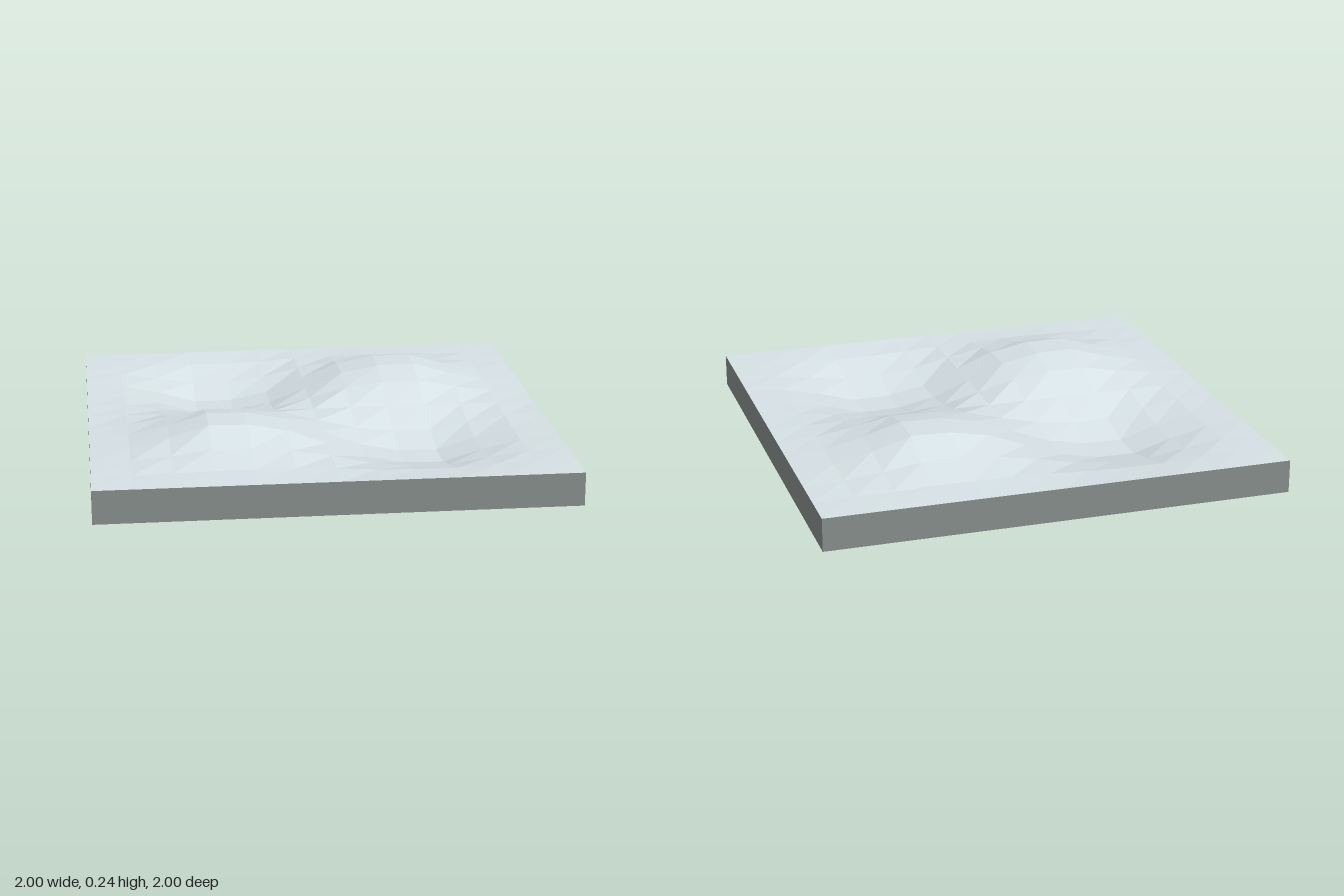
import * as THREE from 'three';

const SLAB_HEIGHT = 0.142;
const RELIEF = 0.1;
const CELLS = 12;

// Relief strength at each grid line, from the centre out to the edge.
const ACROSS = [0, 0.65, 0.97, 1, 0.51, 0.13, 0];
const MOUND_DEPTH = [0, 0.66, 1, 0.98, 0.45, 0.08, 0];
const HOLLOW_DEPTH = [0, 0.62, 1, 1, 0.58, 0.16, 0];

const gridStep = (v) => Math.round(Math.abs(v) * CELLS / 2);

// Two mounds and two hollows sit in opposite quarters and fade out at the rim.
function reliefHeight(x, z) {
  const sign = -Math.sign(x) * Math.sign(z);
  const depth = sign > 0 ? MOUND_DEPTH : HOLLOW_DEPTH;
  return sign * RELIEF * ACROSS[gridStep(x)] * depth[gridStep(z)];
}

export function createModel() {
  const model = new THREE.Group();
  model.name = 'terrainTile';

  const groundMaterial = new THREE.MeshStandardMaterial({ color: 0xd6e1e5, flatShading: true });
  groundMaterial.name = 'pale grey ground';
  const slabMaterial = new THREE.MeshStandardMaterial({ color: 0x858d8a });
  slabMaterial.name = 'grey slab';

  // Slab: walls and underside only, leaving room for the hollows
  const slabGeometry = new THREE.BoxGeometry(2, SLAB_HEIGHT, 2);
  const index = Array.from(slabGeometry.index.array);
  index.splice(12, 6); // top face
  slabGeometry.setIndex(index);
  slabGeometry.clearGroups();
  slabGeometry.translate(0, SLAB_HEIGHT / 2, 0);
  const slab = new THREE.Mesh(slabGeometry, slabMaterial);
  slab.name = 'slab';
  model.add(slab);

  // Ground: a faceted grid raised and lowered by the relief rule
  const groundGeometry = new THREE.PlaneGeometry(2, 2, CELLS, CELLS).rotateX(-Math.PI / 2);
  const position = groundGeometry.attributes.position;
  for (let i = 0; i < position.count; i++) {
    position.setY(i, SLAB_HEIGHT + reliefHeight(position.getX(i), position.getZ(i)));
  }
  groundGeometry.computeVertexNormals();
  const ground = new THREE.Mesh(groundGeometry, groundMaterial);
  ground.name = 'rollingGround';
  model.add(ground);

  return model;
}
